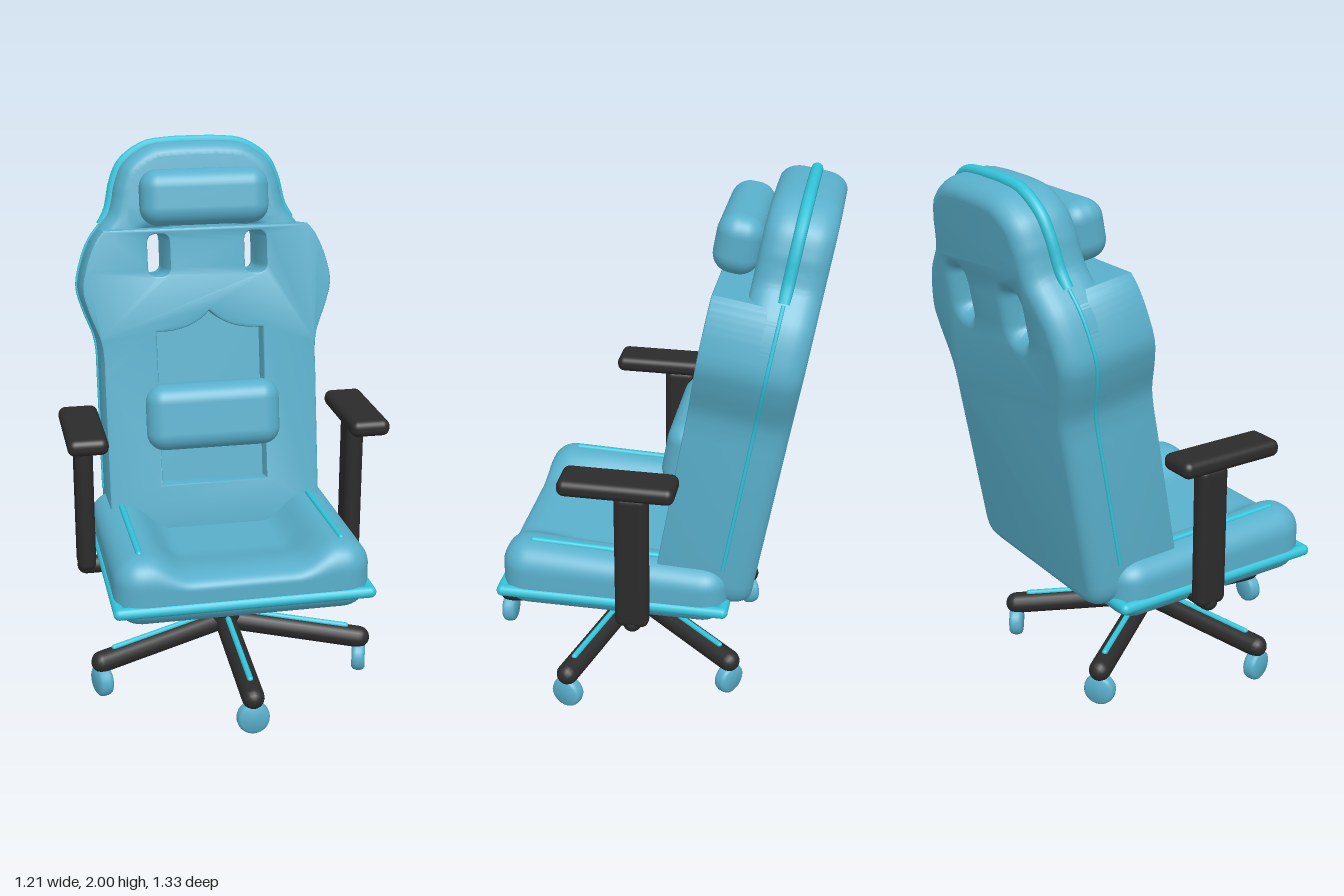
import * as THREE from 'three';
import { mergeVertices, toCreasedNormals } from 'three/addons/utils/BufferGeometryUtils.js';
import { RoundedBoxGeometry } from 'three/addons/geometries/RoundedBoxGeometry.js';

const V3 = (x, y, z) => new THREE.Vector3(x, y, z);
const V2 = (x, y) => new THREE.Vector2(x, y);

export function createModel() {
  const model = new THREE.Group();
  const material = (name, color) => {
    const m = new THREE.MeshStandardMaterial({ color });
    m.name = name;
    return m;
  };
  const fabric = material('blueFabric', 0x59afcb);
  const piping = material('cyanPiping', 0x33c4da);
  const plastic = material('blackPlastic', 0x2b2b2b);

  const add = (parent, name, geometry, mat, x = 0, y = 0, z = 0) => {
    const mesh = new THREE.Mesh(geometry, mat);
    mesh.name = name;
    mesh.position.set(x, y, z);
    parent.add(mesh);
    return mesh;
  };
  const group = (parent, name) => {
    const g = new THREE.Group();
    g.name = name;
    parent.add(g);
    return g;
  };
  // Round-ended bar between two points
  const rod = (parent, name, a, b, r, mat) => {
    const dir = b.clone().sub(a);
    const mesh = add(parent, name, new THREE.CapsuleGeometry(r, dir.length(), 6, 16), mat);
    mesh.position.copy(a).add(b).multiplyScalar(0.5);
    mesh.quaternion.setFromUnitVectors(V3(0, 1, 0), dir.normalize());
    return mesh;
  };
  const tube = (parent, name, pts, r, mat) =>
    add(parent, name, new THREE.TubeGeometry(new THREE.CatmullRomCurve3(pts), 64, r, 10), mat);

  // Star base: five legs with piping strips and casters
  const base = group(model, 'base');
  base.position.z = 0.087;
  rod(base, 'column', V3(0, 0.21, 0), V3(0, 0.31, 0), 0.07, plastic);
  for (let i = 0; i < 5; i++) {
    const leg = group(base, 'leg');
    leg.rotation.y = (i * Math.PI * 2) / 5;
    rod(leg, 'legBar', V3(0, 0.188, 0.03), V3(0, 0.14, 0.532), 0.042, plastic);
    rod(leg, 'legStrip', V3(0, 0.224, 0.08), V3(0, 0.187, 0.48), 0.011, piping);
    const wheel = new THREE.LatheGeometry(
      [V2(0, -0.026), V2(0.048, -0.026), V2(0.057, -0.02), V2(0.061, -0.008),
        V2(0.061, 0.008), V2(0.057, 0.02), V2(0.048, 0.026), V2(0, 0.026)], 28);
    add(leg, 'caster', toCreasedNormals(wheel, 0.9), fabric, 0, 0.061, 0.534).rotation.x = Math.PI / 2;
  }

  // Seat cushion: rounded block whose top dips between the side bolsters
  const seat = group(model, 'seat');
  let cushion = new THREE.BoxGeometry(0.95, 0.27, 0.86, 48, 20, 48);
  cushion.deleteAttribute('normal');
  cushion.deleteAttribute('uv');
  cushion = mergeVertices(cushion);
  const half = V3(0.475, 0.135, 0.43), radius = 0.1;
  const inner = half.clone().subScalar(radius);
  const pos = cushion.attributes.position;
  const p = V3(0, 0, 0);
  const smooth = THREE.MathUtils.smoothstep;
  for (let i = 0; i < pos.count; i++) {
    p.fromBufferAttribute(pos, i);
    const core = p.clone().clamp(inner.clone().negate(), inner);
    p.sub(core).setLength(radius).add(core);
    const lift = Math.max(0, p.y / half.y);
    const hollow = 1 - smooth(Math.abs(p.x), 0.19, 0.35);
    const lip = 1 - smooth(p.z, 0.1, 0.32);
    p.y -= lift * (hollow * (0.07 + 0.03 * lip) + 0.035 * (0.43 - p.z) / 0.86);
    pos.setXYZ(i, p.x, p.y, p.z);
  }
  cushion.computeVertexNormals();
  add(seat, 'cushion', cushion, fabric, 0, 0.518, 0.085);
  const corners = [V3(0.465, 0.465, 0.505), V3(-0.465, 0.465, 0.505), V3(-0.465, 0.465, -0.33), V3(0.465, 0.465, -0.33)];
  corners.forEach((c, i) => rod(seat, 'seatPiping', c, corners[(i + 1) % 4], 0.022, piping));
  for (const s of [-1, 1]) {
    rod(seat, 'bolsterStrip', V3(s * 0.377, 0.629, -0.1), V3(s * 0.377, 0.646, 0.4), 0.012, piping);
  }

  // Backrest, reclined; its local z = 0 is the seam plane
  const back = group(model, 'backrest');
  back.position.set(0, 0.5, -0.303);
  back.rotation.x = -0.168;
  const waist = [V2(0.42, 0.68), V2(0.43, 0.75), V2(0.47, 0.86), V2(0.488, 0.945), V2(0.468, 1.04)];
  const head = [V2(0.338, 1.28), V2(0.325, 1.34), V2(0.287, 1.42), V2(0.195, 1.482), V2(0.1, 1.496), V2(0, 1.498)];

  // Symmetric outline from a right-hand half
  const outline = (upper, end) => {
    const path = new THREE.Path();
    path.moveTo(0, -0.05);
    path.lineTo(0.31, -0.05);
    path.quadraticCurveTo(0.42, -0.05, 0.42, 0.06);
    path.lineTo(0.42, 0.6);
    path.splineThru(upper);
    if (end) path.lineTo(end.x, end.y);
    const right = path.getPoints(6);
    return new THREE.Shape([...right, ...right.slice(1, -1).reverse().map((q) => V2(-q.x, q.y))]);
  };
  const slot = (cx) => {
    const h = new THREE.Path();
    const w = 0.043, lo = 0.984, hi = 1.146, r = 0.036;
    h.moveTo(cx - w, lo + r);
    h.lineTo(cx - w, hi - r);
    h.quadraticCurveTo(cx - w, hi, cx - w + r, hi);
    h.lineTo(cx + w - r, hi);
    h.quadraticCurveTo(cx + w, hi, cx + w, hi - r);
    h.lineTo(cx + w, lo + r);
    h.quadraticCurveTo(cx + w, lo, cx + w - r, lo);
    h.lineTo(cx - w + r, lo);
    h.quadraticCurveTo(cx - w, lo, cx - w, lo + r);
    return h;
  };
  const slab = (shape, z0, z1, thick, size, steps) => {
    const g = new THREE.ExtrudeGeometry(shape, {
      depth: z1 - z0 - 2 * thick, bevelThickness: thick, bevelSize: size,
      bevelOffset: -size, bevelSegments: steps, curveSegments: 8,
    });
    g.translate(0, 0, z0 + thick);
    return toCreasedNormals(g, 0.6);
  };

  // Rear shell with the head section and flared belt slots
  const rear = outline([...waist, V2(0.435, 1.12), V2(0.39, 1.18), V2(0.355, 1.225), ...head]);
  rear.holes.push(slot(-0.19), slot(0.19));
  add(back, 'rearShell', slab(rear, -0.122, 0.122, 0.08, 0.055, 6), fabric);

  // Front pad with belt slots and lumbar recess
  const front = outline([...waist, V2(0.435, 1.12), V2(0.4, 1.166)], V2(0, 1.166));
  const recess = new THREE.Path();
  recess.moveTo(-0.21, 0.165);
  recess.lineTo(-0.21, 0.77);
  recess.quadraticCurveTo(-0.07, 0.765, 0, 0.845);
  recess.quadraticCurveTo(0.07, 0.765, 0.21, 0.77);
  recess.lineTo(0.21, 0.165);
  recess.lineTo(-0.21, 0.165);
  front.holes.push(slot(-0.19), slot(0.19), recess);
  add(back, 'frontPad', slab(front, 0, 0.241, 0.008, 0.008, 2), fabric);
  add(back, 'recessFloor', new THREE.BoxGeometry(0.48, 0.74, 0.06), fabric, 0, 0.505, 0.13);

  // Pillows
  add(back, 'lumbarPillow', new RoundedBoxGeometry(0.53, 0.26, 0.16, 6, 0.07), fabric, 0, 0.435, 0.23);
  add(back, 'headPillow', new RoundedBoxGeometry(0.5, 0.215, 0.165, 6, 0.07), fabric, 0, 1.282, 0.2);

  // Piping around the head and thin seams down the sides
  const arch = [V2(0.38, 1.18), V2(0.35, 1.235), ...head];
  tube(back, 'headPiping', [
    ...arch.map((q) => V3(q.x, q.y, 0)),
    ...arch.slice(0, -1).reverse().map((q) => V3(-q.x, q.y, 0)),
  ], 0.022, piping);
  for (const s of [-1, 1]) {
    const seam = [V2(0.42, 0.12), V2(0.42, 0.4), V2(0.42, 0.6), ...waist, V2(0.435, 1.12), V2(0.39, 1.18)];
    tube(back, 'sideSeam', seam.map((q) => V3(s * q.x, q.y, 0)), 0.007, piping);
  }

  // Armrests
  for (const s of [-1, 1]) {
    const arm = group(model, s > 0 ? 'leftArmrest' : 'rightArmrest');
    add(arm, 'armPad', new RoundedBoxGeometry(0.15, 0.064, 0.42, 4, 0.028), plastic, s * 0.53, 1.003, 0.04);
    add(arm, 'armPost', new RoundedBoxGeometry(0.07, 0.555, 0.125, 4, 0.03), plastic, s * 0.53, 0.697, -0.008);
    rod(arm, 'armBracket', V3(s * 0.53, 0.428, -0.008), V3(s * 0.35, 0.428, -0.008), 0.035, plastic);
  }
  return model;
}
